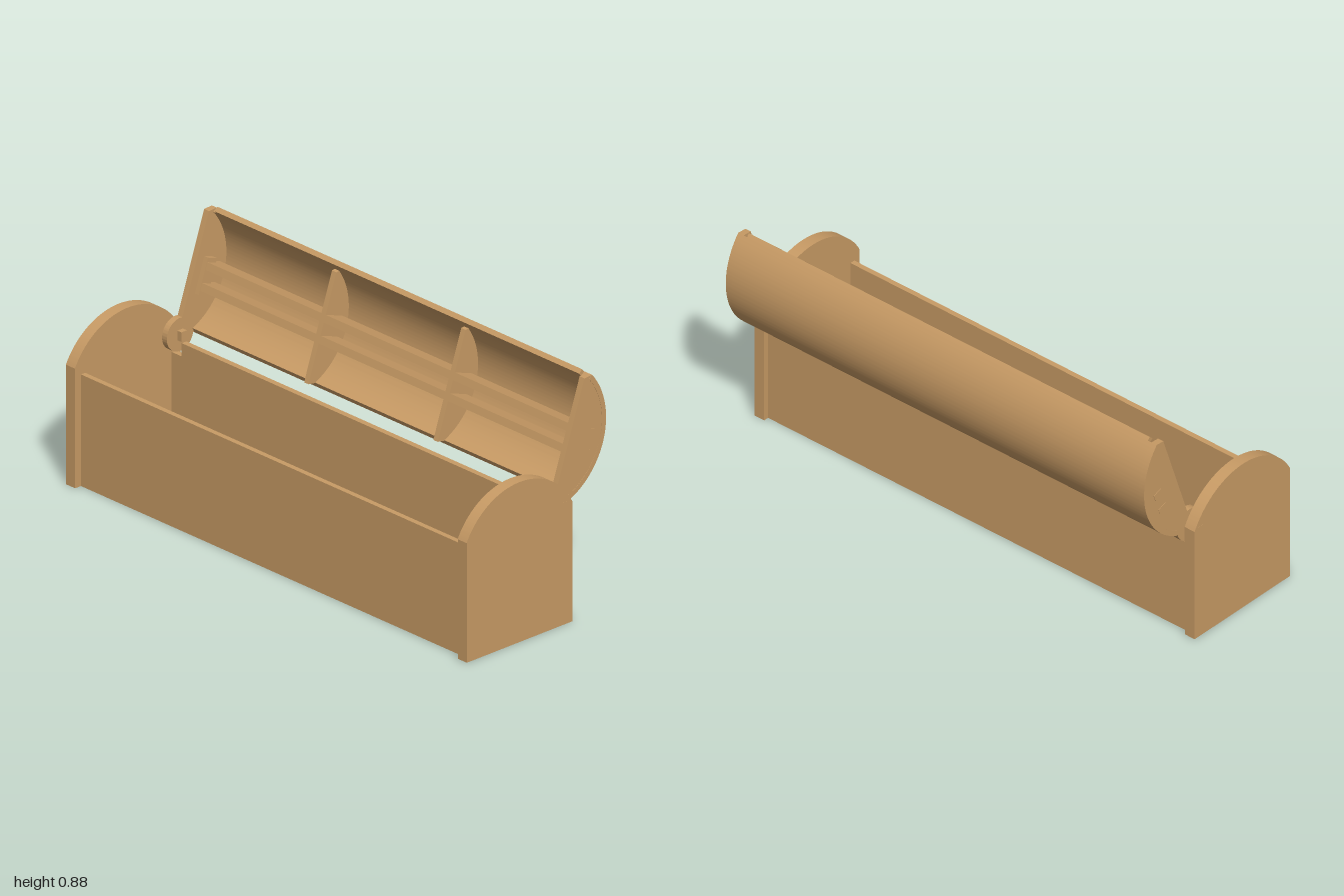
import * as THREE from 'three';
import { toCreasedNormals } from 'three/addons/utils/BufferGeometryUtils.js';

const ARC = { z: 0.1, y: 0.323, r: 0.279 };   // curve shared by the end boards and the lid
const HINGE = { z: -0.117, y: 0.443, r: 0.062 };
const LID_ANGLE = 109;
const rad = THREE.MathUtils.degToRad;

export function createModel() {
  const wood = new THREE.MeshStandardMaterial({ color: 0xc89b65 });
  wood.name = 'wood';
  const model = new THREE.Group();
  model.name = 'toolChest';

  function add(parent, name, geometry) {
    const mesh = new THREE.Mesh(geometry, wood);
    mesh.name = name;
    parent.add(mesh);
  }

  // Box given by its limits on each axis
  function box(parent, name, x0, x1, y0, y1, z0, z1) {
    const g = new THREE.BoxGeometry(x1 - x0, y1 - y0, z1 - z0);
    g.translate((x0 + x1) / 2, (y0 + y1) / 2, (z0 + z1) / 2);
    add(parent, name, g);
  }

  // Profile drawn in (z, y), extruded from x0 to x1
  function extrude(parent, name, shape, x0, x1) {
    const g = new THREE.ExtrudeGeometry(shape, { depth: x1 - x0, bevelEnabled: false, curveSegments: 40 });
    g.rotateY(-Math.PI / 2);
    g.translate(x1, 0, 0);
    add(parent, name, toCreasedNormals(g, rad(25)));
  }

  // Trough: floor, front wall, back wall with slots for the hinge knuckles
  box(model, 'floor', -0.955, 0.955, 0, 0.02, -0.128, 0.32);
  box(model, 'frontWall', -0.955, 0.955, 0, 0.42, 0.3, 0.32);
  box(model, 'backWall', -0.905, 0.905, 0, 0.42, -0.128, -0.106);

  // Lid parts are placed closed, then swung open about the hinge
  const lid = new THREE.Group();
  lid.name = 'lid';
  lid.position.set(0, HINGE.y, HINGE.z);
  lid.rotation.x = -rad(LID_ANGLE);
  const lidParts = new THREE.Group();
  lidParts.name = 'lidParts';
  lidParts.position.set(0, -HINGE.y, -HINGE.z);
  lid.add(lidParts);
  model.add(lid);

  // Round-topped end board
  const endBoard = new THREE.Shape();
  const a = Math.atan2(0.45 - ARC.y, 0.247);
  endBoard.moveTo(-0.148, 0);
  endBoard.lineTo(0.347, 0);
  endBoard.lineTo(0.347, 0.45);
  endBoard.absarc(ARC.z, ARC.y, ARC.r, a, Math.PI - a, false);
  endBoard.closePath();

  // Lid end: a segment with a round hinge knuckle
  const lidEnd = new THREE.Shape();
  lidEnd.moveTo(0.325, 0.434);
  lidEnd.lineTo(-0.056, 0.434);
  lidEnd.absarc(HINGE.z, HINGE.y, HINGE.r, rad(-9), rad(80 - 360), true);
  lidEnd.absarc(ARC.z, ARC.y, ARC.r, rad(138), rad(31), true);
  lidEnd.closePath();

  for (const s of [-1, 1]) {
    const side = s > 0 ? 'left' : 'right';
    const span = (p, q) => (s > 0 ? [p, q] : [-q, -p]);
    extrude(model, side + 'EndBoard', endBoard, ...span(0.955, 1));
    box(model, side + 'BackWallEnd', ...span(0.905, 0.955), 0, 0.37, -0.128, -0.106);
    extrude(lidParts, side + 'LidEnd', lidEnd, ...span(0.925, 0.949));
    box(lidParts, side + 'LidCleat', ...span(0.905, 0.927), 0.465, 0.51, 0.03, 0.165);
    box(model, side + 'HingePin', ...span(0.905, 1.0005), 0.425, 0.461, -0.13, -0.104);
  }

  // Curved lid shell, with a longer lip between the end boards
  function sector(from, to) {
    const shape = new THREE.Shape();
    shape.absarc(ARC.z, ARC.y, ARC.r, rad(from), rad(to), false);
    shape.absarc(ARC.z, ARC.y, 0.26, rad(to), rad(from), true);
    shape.closePath();
    return shape;
  }
  extrude(lidParts, 'lidShell', sector(31, 138), -0.95, 0.95);
  extrude(lidParts, 'lidLip', sector(28, 31), -0.91, 0.91);

  // Two long rails inside the lid, tenoned through its ends
  for (const z of [0.06, 0.135]) {
    box(lidParts, 'lidRail', -0.905, 0.905, 0.467, 0.548, z - 0.014, z + 0.014);
    box(lidParts, 'railTenon', -0.9505, 0.9505, 0.509, 0.548, z - 0.014, z + 0.014);
  }

  // Cross ribs following the inside of the shell
  const rib = new THREE.Shape();
  rib.moveTo(-0.1, 0.467);
  rib.lineTo(0.302, 0.467);
  rib.absarc(ARC.z, ARC.y, 0.262, rad(37), rad(138), false);
  rib.closePath();
  for (const x of [-0.325, 0.32]) extrude(lidParts, 'lidRib', rib, x - 0.011, x + 0.011);

  return model;
}
